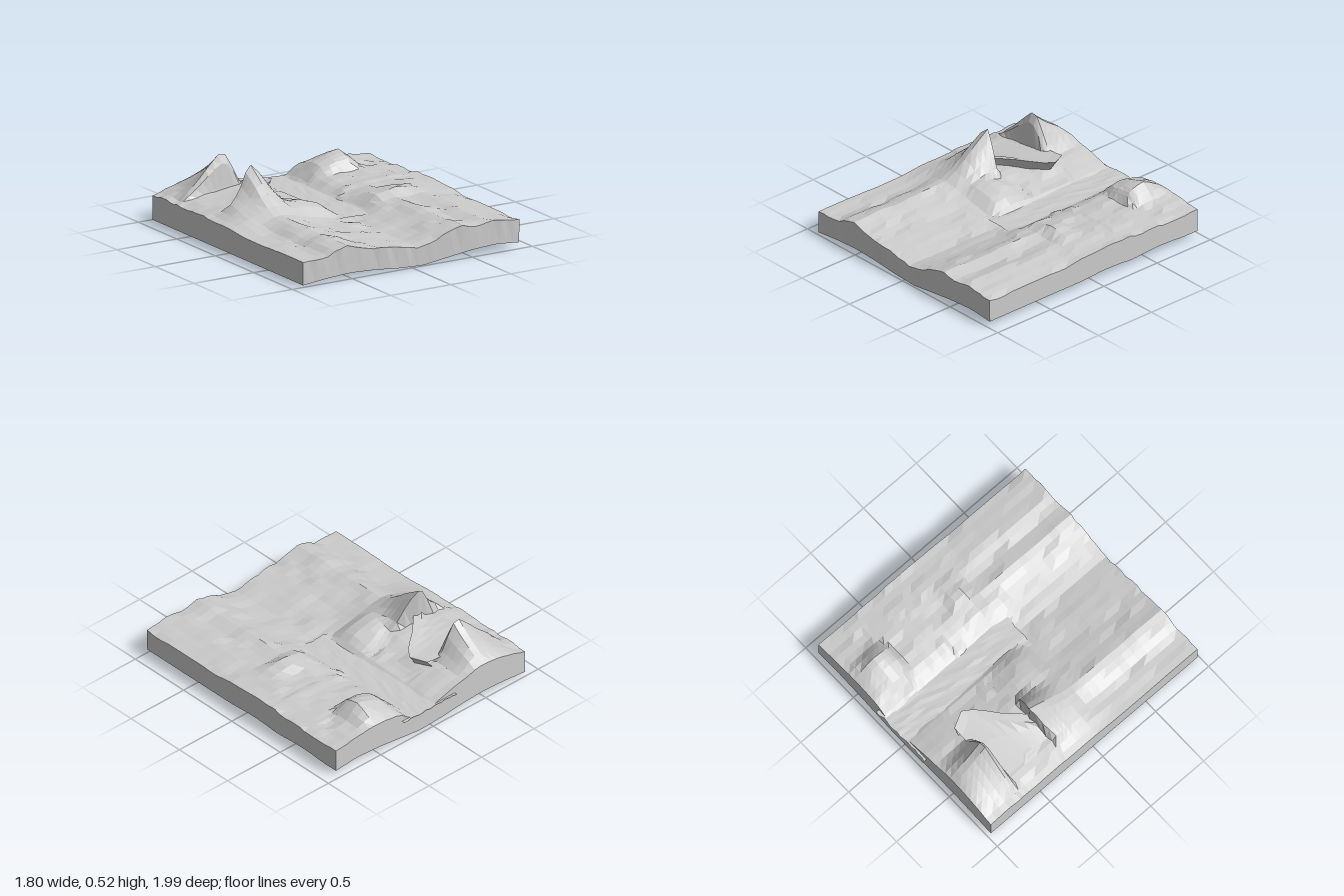
import * as THREE from 'three';

const material = new THREE.MeshStandardMaterial({ color: 0xcccccc, flatShading: true, side: THREE.DoubleSide });

// Piecewise linear profile through [position, value] pairs
function profile(points, t) {
  if (t <= points[0][0]) return points[0][1];
  for (let i = 1; i < points.length; i++) {
    const [a, va] = points[i - 1], [b, vb] = points[i];
    if (t <= b) return va + (vb - va) * (t - a) / (b - a);
  }
  return points[points.length - 1][1];
}

function noise(i, j) {
  const s = Math.sin(i * 127.1 + j * 311.7) * 43758.5453;
  return (s - Math.floor(s)) * 2 - 1;
}

const smooth = (a, b, t) => THREE.MathUtils.smoothstep(t, a, b);
const lerp = THREE.MathUtils.lerp;
const dome = (x, z, cx, cz, rx, rz) => {
  const d = ((x - cx) / rx) ** 2 + ((z - cz) / rz) ** 2;
  return d < 1 ? Math.sqrt(1 - d) * (1 - d * 0.4) : 0;
};

// Cross-sections of the land and the underside
const frontLand = [[-.9, .18], [-.7, .185], [-.62, .23], [-.53, .25], [-.42, .22], [-.3, .19], [-.1, .168],
  [.05, .145], [.18, .17], [.3, .21], [.42, .245], [.55, .22], [.66, .245], [.9, .21]];
const backLand = [[-.9, .2], [-.78, .23], [-.6, .25], [-.4, .25], [-.25, .225], [-.06, .175], [0, .15],
  [.16, .15], [.22, .185], [.3, .22], [.42, .24], [.65, .24], [.9, .22]];
const under = [[-.9, .015], [-.7, .035], [-.5, .045], [-.3, .035], [-.1, .015], [.1, .005], [.3, .03],
  [.5, .053], [.7, .065], [.9, .048]];

// Peaks: outline across and slope along the land
const nearAcross = [[-.8, 0], [-.65, .42], [-.58, .86], [-.53, 1], [-.45, .7], [-.4, .34], [-.34, 0]];
const nearSlope = [[-.31, 0], [-.275, 1], [-.15, .68], [0, .27], [.12, 0]];
const farAcross = [[-.84, 0], [-.7, .35], [-.6, .7], [-.51, 1], [-.46, .85], [-.4, .4], [-.34, 0]];
const farSlope = [[-.97, .08], [-.91, .3], [-.85, .48], [-.76, .73], [-.69, 1], [-.66, .75], [-.64, 0]];

// Mounds: height, outline across and slope along the land
const mounds = [
  [.06, [[-.4, 0], [-.3, .9], [-.2, 1], [-.1, .8], [-.02, .2], [.02, 0]],
    [[-.27, 0], [-.18, .6], [-.06, 1], [.03, .75], [.12, 0]]],
  [.112, [[.2, 0], [.26, .25], [.33, .65], [.42, .85], [.53, 1], [.6, .6], [.64, .15], [.68, 0]],
    [[-.97, .15], [-.9, .55], [-.78, 1], [-.7, .85], [-.66, .6], [-.6, 0]]],
  [.04, [[.25, 0], [.3, .7], [.4, 1], [.55, .9], [.63, .6], [.68, 0]],
    [[-.15, 0], [-.05, .8], [.03, 1], [.12, 0]]],
];

// Rows bend forward around the near peak, and its foot tucks in below the summit
const lean = [[-.95, 0], [-.75, .07], [-.53, 0], [-.33, .07], [-.15, 0]];
const leanRows = [[-.39, 0], [-.31, 1], [-.24, 1], [-.06, 0]];
const tuck = [[-.7, 0], [-.58, .045], [-.48, .045], [-.38, 0]];
const tuckRows = [[-.34, .3], [-.31, 1], [-.28, 0]];

function bendRow(x, z) {
  const foot = z < -.35 ? 0 : profile(tuckRows, z);
  return z + profile(lean, x) * profile(leanRows, z) + profile(tuck, x) * foot;
}

function landHeight(x, z, i, j) {
  let y = lerp(profile(backLand, x), profile(frontLand, x), smooth(-.05, .3, z));
  const inRiver = x > -.04 && x < .2 && z < .2;
  if (!inRiver) y += noise(i, j) * .008;
  for (const [height, across, along] of mounds) y += height * profile(across, x) * profile(along, z);
  y += .018 * dome(x, z, .85, -.15, .3, .35);
  y = lerp(y, .53, profile(nearAcross, x) * profile(nearSlope, z));
  return lerp(y, .525, profile(farAcross, x) * profile(farSlope, z));
}

function underHeight(x, z) {
  const back = 1 - smooth(0, .2, z);
  return profile(under, x)
    + back * .013 * (dome(x, z, .75, -.12, .5, .2) + dome(x, z, .75, -.62, .5, .2))
    + .025 * (dome(x, z, .36, -.02, .15, .13) + dome(x, z, .4, -.5, .15, .13))
    + .035 * dome(x, z, -.53, -.1, .15, .18) + .03 * dome(x, z, -.53, -.75, .15, .15);
}

// Solid slab: top grid, bottom grid and four walls
function createLand() {
  const cols = 34;
  const rows = [-.97, -.91, -.85, -.79, -.73, -.69, -.66, -.64, -.6, -.51, -.45, -.39, -.34, -.31, -.275,
    -.24, -.19, -.13, -.06, .03, .12, .2, .27, .34, .41, .48, .55, .62, .7, .77, .84, .91, .985];
  const w = cols + 1, count = w * rows.length;
  const top = [], bottom = [], index = [];
  rows.forEach((z, j) => {
    for (let i = 0; i < w; i++) {
      const x = -.9 + 1.8 * i / cols;
      const rim = j === rows.length - 1 ? noise(i, 3) * .006 : 0;
      top.push(x, landHeight(x, z, i >> 1, j >> 1), bendRow(x, z) + rim);
      bottom.push(x, underHeight(x, z), z);
    }
  });
  const quad = (a, b, c, d) => index.push(a, b, c, a, c, d);
  for (let j = 0; j < rows.length - 1; j++) {
    for (let i = 0; i < cols; i++) {
      const a = j * w + i;
      quad(a, a + w, a + w + 1, a + 1);
      quad(count + a, count + a + 1, count + a + w + 1, count + a + w);
    }
    const l = j * w, r = l + cols;
    quad(l, count + l, count + l + w, l + w);
    quad(r, r + w, count + r + w, count + r);
  }
  for (let i = 0; i < cols; i++) {
    const f = (rows.length - 1) * w + i;
    quad(i, i + 1, count + i + 1, count + i);
    quad(f, count + f, count + f + 1, f + 1);
  }
  const geometry = new THREE.BufferGeometry();
  geometry.setAttribute('position', new THREE.Float32BufferAttribute([...top, ...bottom], 3));
  geometry.setIndex(index);
  const flat = geometry.toNonIndexed();
  flat.computeVertexNormals();
  return flat;
}

// Overhanging rock shelf between the peaks, lofted from bent cross-sections
function createShelf() {
  const sections = [[-.7, -.22], [-.64, -.19], [-.58, -.16], [-.51, -.21], [-.45, -.28], [-.38, -.37], [-.31, -.44],
    [-.25, -.5]];
  const geometry = new THREE.PlaneGeometry(1, 1, 4, sections.length - 1);
  const p = geometry.attributes.position;
  sections.forEach(([z, edge], j) => {
    const lip = .29 + .03 * j / (sections.length - 1);
    const bend = [[-.72, .235], [lerp(-.72, edge, .5), .268], [edge - .08, lip - .012], [edge, lip], [edge - .05, .225]];
    bend.forEach(([x, y], i) => p.setXYZ(j * 5 + i, x, y, z));
  });
  geometry.computeVertexNormals();
  return geometry;
}

// Thin water sheet with ragged ends
function createRiver() {
  const geometry = new THREE.PlaneGeometry(.5, 1.15, 14, 12).rotateX(-Math.PI / 2).translate(.02, .166, -.415);
  const p = geometry.attributes.position;
  for (let k = 0; k < p.count; k++) {
    const end = Math.abs(p.getZ(k) + .415) > .57;
    p.setY(k, p.getY(k) + noise(k, 5) * .003);
    if (end) p.setZ(k, p.getZ(k) + noise(k, 8) * .01);
  }
  geometry.computeVertexNormals();
  return geometry;
}

export function createModel() {
  const model = new THREE.Group();
  model.name = 'terrain';
  const parts = { land: createLand(), rockShelf: createShelf(), river: createRiver() };
  for (const [name, geometry] of Object.entries(parts)) {
    const mesh = new THREE.Mesh(geometry, material);
    mesh.name = name;
    model.add(mesh);
  }
  return model;
}
